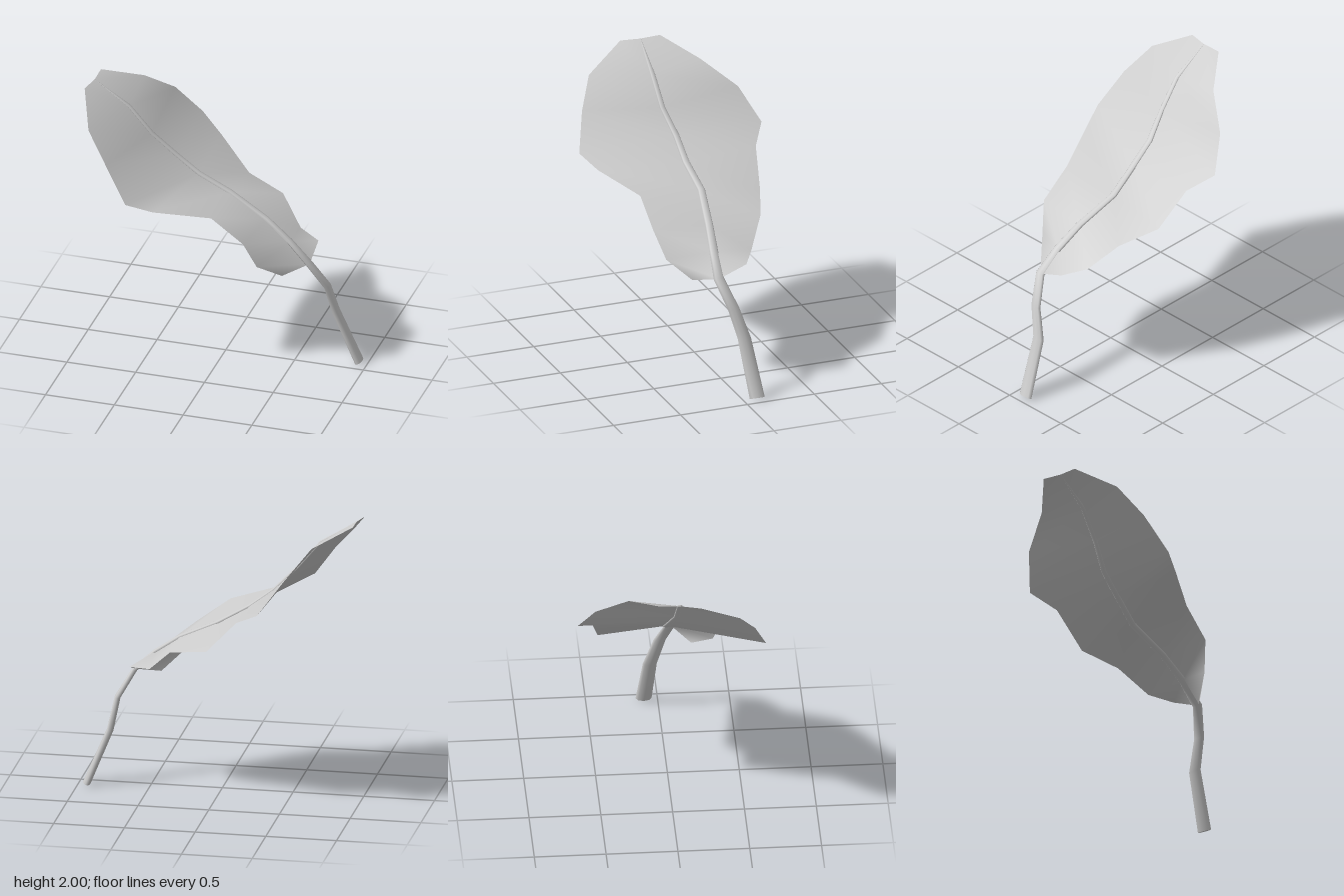
import * as THREE from 'three';

// Midrib and stalk from the leaf tip to the cut end: x, y, z, half width
const RIB = [
  [-0.945, 1.995, 0.025, 0.002], [-0.69, 1.83, 0.036, 0.019], [-0.53, 1.64, 0.026, 0.021],
  [-0.37, 1.48, -0.015, 0.024], [-0.2, 1.35, -0.02, 0.026], [0.02, 1.225, -0.045, 0.028],
  [0.3, 1.085, 0.01, 0.03], [0.48, 0.955, 0.045, 0.033], [0.63, 0.81, 0.065, 0.039],
  [0.74, 0.62, 0.0, 0.043], [0.78, 0.4, -0.065, 0.049], [0.94, 0.01, -0.097, 0.056],
];

// Blade outline, one point on each side per midrib station
const BACK_EDGE = [
  [-0.945, 2.0, -0.12], [-0.69, 1.89, -0.32], [-0.535, 1.71, -0.54], [-0.37, 1.49, -0.65], [-0.2, 1.39, -0.54],
  [0.02, 1.15, -0.485], [0.3, 1.09, -0.375], [0.47, 0.915, -0.24], [0.63, 0.89, -0.14],
];
const FRONT_EDGE = [
  [-0.975, 1.99, 0.165], [-0.86, 1.82, 0.445], [-0.7, 1.63, 0.56], [-0.53, 1.39, 0.648], [-0.35, 1.325, 0.58],
  [0.02, 1.25, 0.41], [0.25, 1.08, 0.405], [0.33, 0.88, 0.34], [0.47, 0.76, 0.2],
];

function makeGeometry(positions, index) {
  const g = new THREE.BufferGeometry();
  g.setAttribute('position', new THREE.Float32BufferAttribute(positions, 3));
  g.setIndex(index);
  g.computeVertexNormals();
  return g;
}

// Thin blade: rows of back edge, midrib, front edge
function bladeGeometry() {
  const pos = [], index = [];
  BACK_EDGE.forEach((b, i) => pos.push(...b, ...RIB[i].slice(0, 3), ...FRONT_EDGE[i]));
  for (let i = 0; i < BACK_EDGE.length - 1; i++) {
    for (let j = 0; j < 2; j++) {
      const a = i * 3 + j, c = a + 3;
      index.push(a, a + 1, c, a + 1, c + 1, c);
    }
  }
  return makeGeometry(pos, index);
}

// Tapering stalk with a flattened oval section, wide across z
function stalkGeometry(sides = 8, flatness = 0.48) {
  const pos = [], index = [], last = RIB.length - 1;
  RIB.forEach(([x, y, z, w], i) => {
    const p = RIB[Math.max(i - 1, 0)], q = RIB[Math.min(i + 1, last)];
    const n = new THREE.Vector2(p[1] - q[1], q[0] - p[0]).normalize().multiplyScalar(w * flatness);
    for (let j = 0; j < sides; j++) {
      const a = (j / sides) * Math.PI * 2, c = Math.cos(a);
      pos.push(x + n.x * c, y + n.y * c, z + w * Math.sin(a));
    }
  });
  for (let i = 0; i < last; i++) {
    for (let j = 0; j < sides; j++) {
      const a = i * sides + j, b = i * sides + ((j + 1) % sides);
      index.push(a, b, a + sides, b, b + sides, a + sides);
    }
  }
  // Cut end with its own vertices, so its edge stays sharp
  const start = pos.length / 3;
  pos.push(...pos.slice(last * sides * 3));
  for (let j = 1; j < sides - 1; j++) index.push(start, start + j, start + j + 1);
  return makeGeometry(pos, index);
}

export function createModel() {
  const group = new THREE.Group();
  group.name = 'leaf';
  const add = (name, geometry, side) => {
    const mesh = new THREE.Mesh(geometry, new THREE.MeshStandardMaterial({ color: 0xcccccc, side }));
    mesh.name = name;
    group.add(mesh);
  };
  add('blade', bladeGeometry(), THREE.DoubleSide);
  add('stalk', stalkGeometry(), THREE.FrontSide);
  return group;
}
